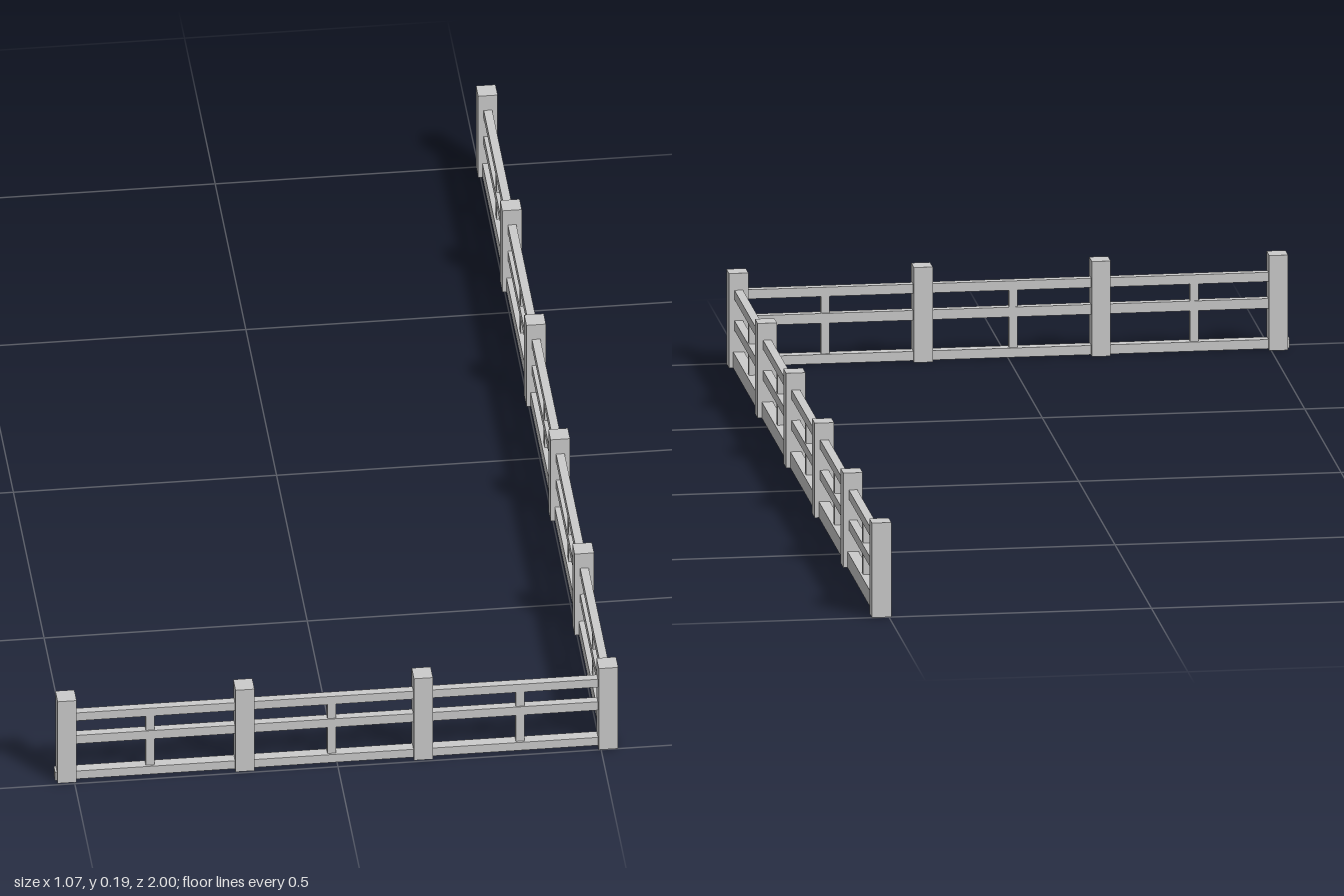
import * as THREE from 'three';

const material = new THREE.MeshStandardMaterial({ color: 0xcccccc, flatShading: true });

// A fence run laid out along local x; every part is a plain squared timber.
function fenceRun(name, { posts, balusters, rails, from, to, height }) {
  const run = new THREE.Group();
  run.name = name;
  const add = (part, x0, x1, y0, y1, depth) => {
    const mesh = new THREE.Mesh(new THREE.BoxGeometry(x1 - x0, y1 - y0, depth), material);
    mesh.position.set((x0 + x1) / 2, (y0 + y1) / 2, 0);
    mesh.name = part;
    run.add(mesh);
  };
  posts.forEach((x) => add('post', x - 0.018, x + 0.018, 0, height, 0.037));
  // horizontal rails
  const [bottom, middle, top] = rails;
  add('bottomRail', from, to, ...bottom, 0.021);
  add('middleRail', posts[0], posts[posts.length - 1], ...middle, 0.016);
  add('topRail', posts[0], posts[posts.length - 1], ...top, 0.016);
  // thin uprights between the posts
  balusters.forEach((x) => add('baluster', x - 0.008, x + 0.008, bottom[1], top[0], 0.012));
  return run;
}

export function createModel() {
  const model = new THREE.Group();
  model.name = 'cornerFence';

  // short run across the front
  const front = fenceRun('frontFence', {
    posts: [-0.514, -0.176, 0.163],
    balusters: [-0.355, -0.01, 0.348],
    rails: [[0.002, 0.02], [0.08, 0.099], [0.132, 0.15]],
    from: -0.536, to: 0.514, height: 0.185,
  });
  // last bay reaches the corner post
  for (const part of front.children) {
    if (part.name === 'middleRail' || part.name === 'topRail') {
      part.geometry = new THREE.BoxGeometry(1.028, part.geometry.parameters.height, 0.016);
      part.position.x = 0;
    }
  }
  front.position.z = 0.977;

  // long run down the left side, including the corner post
  const side = fenceRun('sideFence', {
    posts: [-0.982, -0.589, -0.196, 0.197, 0.589, 0.982],
    balusters: [-0.78, -0.389, 0.003, 0.395, 0.788],
    rails: [[0, 0.031], [0.073, 0.092], [0.133, 0.151]],
    from: -0.982, to: 0.982, height: 0.184,
  });
  side.rotation.y = -Math.PI / 2; // local +x becomes +z
  side.position.x = 0.514;

  model.add(front, side);
  return model;
}
